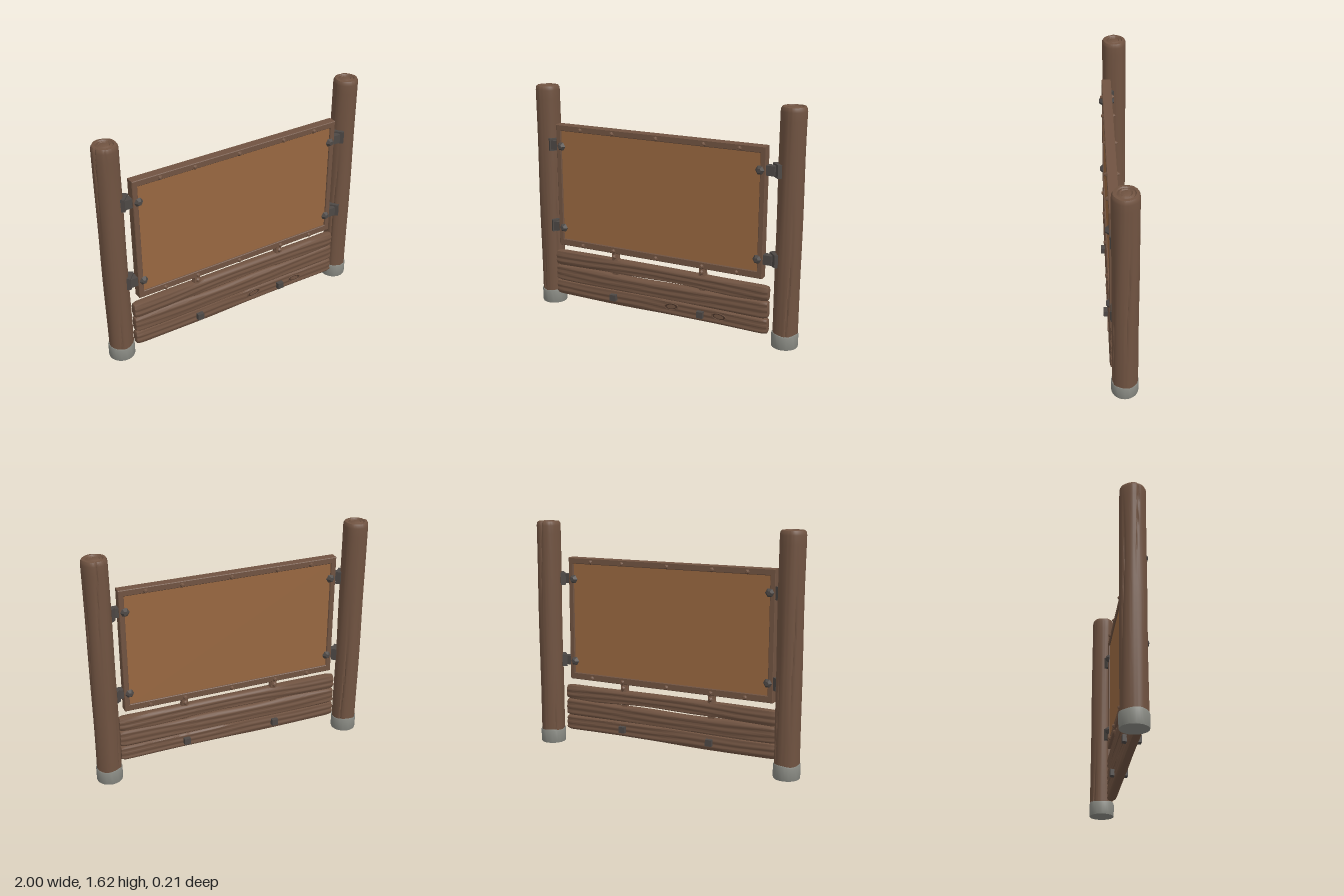
import * as THREE from 'three';
import { toCreasedNormals, mergeVertices } from 'three/addons/utils/BufferGeometryUtils.js';

const material = (name, color) => new THREE.MeshStandardMaterial({ name, color });

// Moves every vertex of a geometry by a rule, then rebuilds welded, creased normals.
function reshape(geometry, rule, crease = 0.7) {
  geometry.deleteAttribute('uv');
  geometry.deleteAttribute('normal');
  const welded = mergeVertices(geometry, 1e-5);
  const p = welded.attributes.position;
  const v = new THREE.Vector3();
  for (let i = 0; i < p.count; i++) {
    v.fromBufferAttribute(p, i);
    rule(v);
    p.setXYZ(i, v.x, v.y, v.z);
  }
  return toCreasedNormals(welded, crease);
}

// Log with wandering cracks, shallow ridges and a rounded, ringed top.
function logGeometry(phase) {
  const points = [new THREE.Vector2(0, 0.05)];
  for (let i = 0; i <= 26; i++) points.push(new THREE.Vector2(0.084, 0.05 + 1.54 * i / 26));
  for (const [r, y] of [[0.082, 1.606], [0.075, 1.618], [0.058, 1.62], [0.052, 1.613],
    [0.038, 1.62], [0.03, 1.614], [0.015, 1.619], [0, 1.617]]) points.push(new THREE.Vector2(r, y));
  const cracks = [0.5, 1.9, 2.9, 4.1, 5.4];
  return reshape(new THREE.LatheGeometry(points, 72), v => {
    const r = Math.hypot(v.x, v.z);
    if (r < 0.07) return;
    const a = Math.atan2(v.z, v.x);
    let d = 0.0015 * Math.sin(a * 5 + v.y * 3 + phase) + 0.001 * Math.sin(v.y * 7 + phase + a);
    cracks.forEach((c, i) => {
      const off = Math.sin((a - c - phase - 0.12 * Math.sin(v.y * 4 + i * 2)) / 2);
      d -= 0.006 * Math.exp(-((off / 0.035) ** 2)) * Math.max(0, 0.4 + Math.sin(v.y * 3 + i * 1.7));
    });
    v.x *= (r + d) / r;
    v.z *= (r + d) / r;
  });
}

// Plank between two edge curves, with soft corners and grain grooves.
function plankGeometry(bottom, top, length, phase) {
  return reshape(new THREE.BoxGeometry(2, 2, 2, 64, 16, 4), v => {
    const { x: u, y: t, z: s } = v;
    const x = u * length / 2;
    const round = 1 - 0.22 * t ** 8 - 0.2 * u ** 60;
    const grain = 0.0028 * Math.sin(t * 8 + phase + 1.2 * Math.sin(x * 3 + phase) + 0.5 * Math.sin(x * 9));
    const lo = bottom(x), hi = top(x);
    v.y = lo + (hi - lo) * (0.5 + 0.5 * t * (1 - 0.06 * s ** 8) * (1 - 0.08 * u ** 60));
    v.z = 0.043 + s * (0.032 * round + grain);
    v.x = x * (1 - 0.006 * t ** 6 - 0.004 * s ** 4) - 0.01;
  });
}

export function createModel() {
  const wood = material('dark wood', 0x705341);
  const panelWood = material('panel wood', 0x986740);
  const iron = material('iron', 0x4d4845);
  const stone = material('stone', 0x888982);
  const dark = material('knot shadow', 0x493428);

  const model = new THREE.Group();
  model.name = 'noticeBoard';
  const add = (name, geometry, mat, x = 0, y = 0, z = 0) => {
    const mesh = new THREE.Mesh(geometry, mat);
    mesh.name = name;
    mesh.position.set(x, y, z);
    model.add(mesh);
    return mesh;
  };

  // Posts standing in stone sockets
  const socketPoints = [[0, 0], [0.088, 0], [0.09, 0.008], [0.09, 0.09], [0.087, 0.098], [0.078, 0.098]]
    .map(([r, y]) => new THREE.Vector2(r, y));
  for (const side of [-1, 1]) {
    const label = side > 0 ? 'left' : 'right';
    add(label + 'Post', logGeometry(side + 1), wood, side * 0.908, 0, -0.017);
    const socket = reshape(new THREE.LatheGeometry(socketPoints, 40), v => {
      if (v.y > 0.05) v.y += 0.004 * Math.sin(Math.atan2(v.z, v.x) * 3 + side);
    });
    add(label + 'PostSocket', socket, stone, side * 0.908, 0, -0.017);
  }

  // Board frame and recessed panel
  const rectangle = (Type, x0, x1, y0, y1) => new Type([[x0, y0], [x1, y0], [x1, y1], [x0, y1]]
    .map(([x, y]) => new THREE.Vector2(x, y)));
  const outline = rectangle(THREE.Shape, -0.786, 0.761, 0.483, 1.36);
  outline.holes.push(rectangle(THREE.Path, -0.757, 0.732, 0.523, 1.325));
  add('boardFrame', new THREE.ExtrudeGeometry(outline, {
    depth: 0.058, bevelEnabled: true, bevelThickness: 0.004, bevelSize: 0.004, bevelSegments: 1,
  }), wood, 0, 0, 0.014);
  add('boardPanel', new THREE.BoxGeometry(1.5, 0.815, 0.044), panelWood, -0.0125, 0.924, 0.043);

  // Studs sit on both faces: blunt pegs with a chosen number of sides
  const studs = (name, x, y, radius, height, sides, mat) => {
    for (const face of [-1, 1]) {
      const g = new THREE.CylinderGeometry(radius * 0.45, radius, height, sides).toNonIndexed();
      g.computeVertexNormals();
      g.rotateY(Math.PI / sides);
      g.rotateX(face * Math.PI / 2);
      add(name, g, mat, x, y, 0.043 + face * (0.03 + height / 2));
    }
  };

  // Nails along the frame
  for (const y of [1.337, 0.497])
    for (const x of [-0.595, -0.345, -0.012, 0.335, 0.585]) studs('frameNail', x, y, 0.018, 0.018, 7, wood);

  // Iron hinges joining the frame to the posts
  for (const side of [-1, 1]) {
    for (const y of [1.21, 0.612]) {
      const plate = add('hingePlate', new THREE.BoxGeometry(0.085, 0.088, 0.036), iron, side * 0.832, y, 0.03);
      plate.rotation.y = -side * 0.85;
      add('hingeArm', new THREE.BoxGeometry(0.07, 0.065, 0.05), iron, side * 0.80 - 0.012, y, 0.043);
      studs('hingeStud', side * 0.74 - 0.0125, y, 0.033, 0.024, 6, iron);
    }
  }

  // Three wavy planks, leaving a split between the upper two
  const gap = x => Math.max(0, 1 - (x / 0.56) ** 2);
  const wave = (y, k, p) => x => y + 0.003 * Math.sin(x * k + p);
  const edges = [
    [wave(0.09, 5, 0), wave(0.199, 5, 1)],
    [wave(0.2, 5, 1), x => 0.318 + 0.003 * Math.sin(x * 9) - 0.004 * gap(x)],
    [x => 0.319 + 0.003 * Math.sin(x * 9) + 0.014 * gap(x), wave(0.427, 3, 2)],
  ];
  edges.forEach(([lo, hi], i) => add('plank' + (i + 1), plankGeometry(lo, hi, 1.64, i * 2.1), wood));

  // Hangers running through the planks, with lugs under the frame and bolts below
  for (const x of [-0.343, 0.333]) {
    add('hanger', new THREE.BoxGeometry(0.045, 0.37, 0.03), wood, x, 0.3, 0.043);
    const lug = new THREE.CylinderGeometry(0.022, 0.032, 0.062, 8).toNonIndexed();
    lug.computeVertexNormals();
    add('hangerLug', lug, wood, x, 0.456, 0.043);
    studs('lugNail', x, 0.452, 0.018, 0.012, 7, wood);
    for (const face of [-1, 1])
      add('plankBolt', new THREE.BoxGeometry(0.046, 0.046, 0.03), iron, x, 0.15, 0.043 + face * 0.046);
  }

  // Knots in the bottom plank
  for (const [x, y, tilt] of [[0.11, 0.163, 0.15], [0.468, 0.156, -0.08]]) {
    const knot = new THREE.Group();
    knot.name = 'knot';
    const hollow = new THREE.Mesh(new THREE.CircleGeometry(0.05, 24), dark);
    hollow.name = 'knotHollow';
    const core = new THREE.Mesh(new THREE.CircleGeometry(0.034, 20), wood);
    core.name = 'knotCore';
    core.position.z = 0.001;
    const rim = new THREE.Mesh(new THREE.TorusGeometry(0.052, 0.005, 6, 24), wood);
    rim.name = 'knotRim';
    knot.add(hollow, core, rim);
    knot.scale.set(1, 0.42, 0.6);
    knot.position.set(x, y, 0.0785);
    knot.rotation.z = tilt;
    model.add(knot);
  }
  return model;
}
